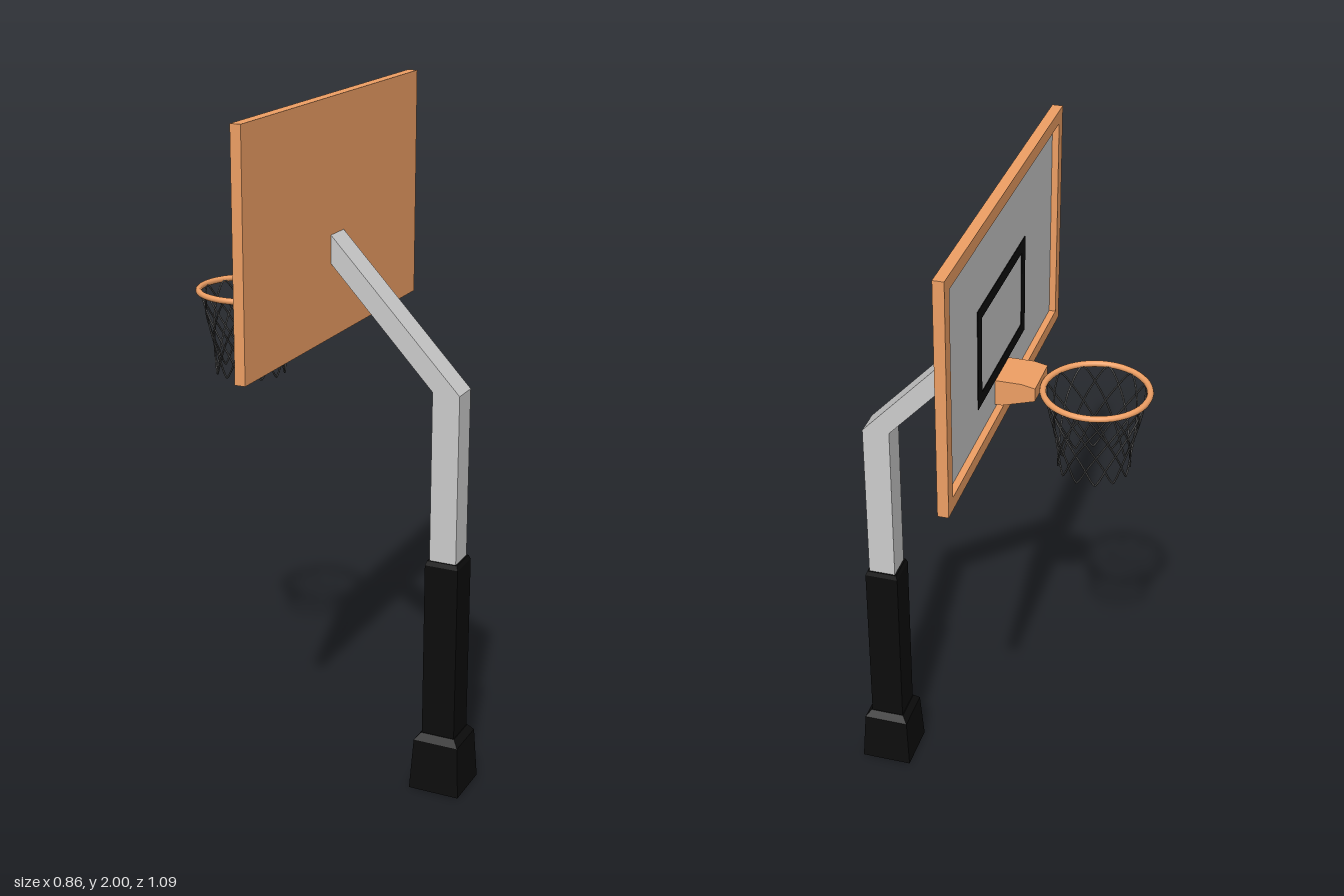
import * as THREE from 'three';

const paint = (color) => new THREE.MeshStandardMaterial({ color });
const grey = paint(0xcccccc);
const orange = paint(0xee9f64);
const black = paint(0x0c0c0c);
const cord = paint(0x3a3a3a);

function add(group, name, geometry, material) {
  const mesh = new THREE.Mesh(geometry, material);
  mesh.name = name;
  group.add(mesh);
  return mesh;
}

const polygon = (points) => new THREE.Shape(points.map(([x, y]) => new THREE.Vector2(x, y)));

// Side profile in x/y, extruded evenly to both sides of z = 0
function sideExtrude(points, width) {
  const geometry = new THREE.ExtrudeGeometry(polygon(points), { depth: width, bevelEnabled: false });
  return geometry.translate(0, 0, -width / 2);
}

// Rectangular frame facing -x; its back lies on x = 0
function frameGeometry(width, height, border, depth) {
  const rect = (w, h) => [[-w / 2, -h / 2], [w / 2, -h / 2], [w / 2, h / 2], [-w / 2, h / 2]];
  const shape = polygon(rect(width, height));
  shape.holes.push(polygon(rect(width - 2 * border, height - 2 * border)));
  const geometry = new THREE.ExtrudeGeometry(shape, { depth, bevelEnabled: false });
  return geometry.rotateY(-Math.PI / 2);
}

// Square column from [half width, height] pairs, bottom to top
function squareColumn(profile) {
  const points = profile.map(([half, y]) => new THREE.Vector2(half * Math.SQRT2, y));
  return new THREE.LatheGeometry(points, 4, Math.PI / 4).toNonIndexed();
}

export function createModel() {
  const model = new THREE.Group();
  model.name = 'basketballHoop';

  // Post with its slanted arm
  add(model, 'postAndArm', sideExtrude([
    [0.308, 0.6], [0.388, 0.6], [0.388, 1.215], [0, 1.625], [0, 1.545], [0.308, 1.217],
  ], 0.082), grey);

  // Padding sleeve and flared foot
  const dark = black.clone();
  dark.flatShading = true;
  const pad = add(model, 'postPadding', squareColumn([
    [0, 0.1], [0.05, 0.1], [0.05, 0.705], [0.045, 0.718], [0, 0.718],
  ]), dark);
  const foot = add(model, 'postFoot', squareColumn([
    [0, 0], [0.077, 0], [0.068, 0.155], [0.052, 0.175], [0, 0.175],
  ]), dark);
  pad.position.x = foot.position.x = 0.348;
  for (const mesh of [pad, foot]) mesh.geometry.computeVertexNormals();

  // Backboard: back plate, raised rim, recessed panel, target square
  const board = new THREE.Group();
  board.name = 'backboard';
  board.position.y = 1.667;
  model.add(board);
  add(board, 'backPlate', new THREE.BoxGeometry(0.008, 1.09, 0.666), orange)
    .geometry.rotateX(Math.PI / 2).translate(-0.004, 0, 0);
  add(board, 'boardRim', frameGeometry(1.09, 0.666, 0.038, 0.022), orange).position.x = -0.008;
  add(board, 'boardPanel', new THREE.BoxGeometry(0.004, 0.59, 1.014), grey).position.x = -0.009;
  add(board, 'targetSquare', frameGeometry(0.45, 0.29, 0.035, 0.002), black)
    .position.set(-0.011, -0.062, 0);

  // Bracket between board and ring
  add(model, 'ringBracket', sideExtrude([
    [-0.01, 1.383], [-0.01, 1.458], [-0.085, 1.458], [-0.123, 1.45], [-0.123, 1.411], [-0.03, 1.383],
  ], 0.13), orange);

  // Ring
  const hoop = new THREE.Group();
  hoop.name = 'hoop';
  hoop.position.set(-0.277, 1.433, 0);
  model.add(hoop);
  add(hoop, 'ring', new THREE.TorusGeometry(0.145, 0.009, 10, 48).rotateX(Math.PI / 2), orange);

  // Net: strands winding both ways down a narrowing sleeve
  const net = new THREE.Group();
  net.name = 'net';
  hoop.add(net);
  const strands = 12;
  const twist = (5 * Math.PI) / strands;
  const sleeve = new THREE.SplineCurve([
    [0.139, 0], [0.127, -0.06], [0.112, -0.125], [0.102, -0.185], [0.1, -0.242],
  ].map(([r, y]) => new THREE.Vector2(r, y)));
  for (const direction of [1, -1]) {
    const path = [];
    for (let i = 0; i <= 15; i++) {
      const p = sleeve.getPoint(i / 15);
      const a = (direction * twist * i) / 15;
      path.push(new THREE.Vector3(p.x * Math.cos(a), p.y, p.x * Math.sin(a)));
    }
    const strand = new THREE.TubeGeometry(new THREE.CatmullRomCurve3(path), 30, 0.0028, 5);
    for (let k = 0; k < strands; k++) {
      add(net, 'netStrand', strand, cord).rotation.y = (k / strands) * Math.PI * 2;
    }
  }
  return model;
}
